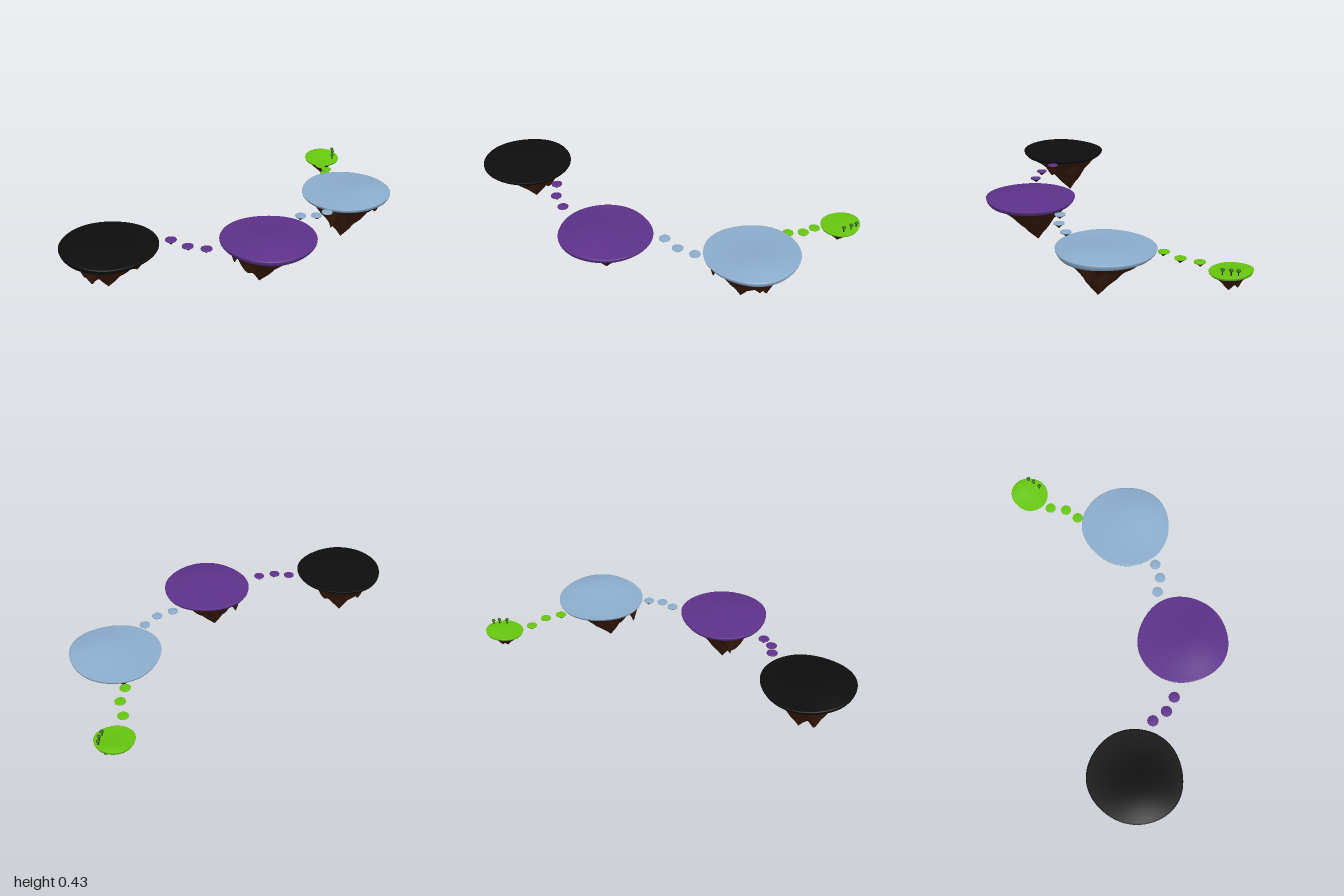
import * as THREE from 'three';
import { mergeVertices } from 'three/addons/utils/BufferGeometryUtils.js';

const mat = (color, roughness = 0.9) => new THREE.MeshStandardMaterial({ color, roughness });
const dirt = mat(0x3a1c0c);
const black = mat(0x0d0d0d), purple = mat(0x5d3189), blue = mat(0x8baccc), green = mat(0x66c60e);
const leaf = mat(0x2f6a1c);

// Disc-like surface: point(t, angle) is swept from the centre (t = 0) to the edge (t = 1)
function radialSurface(point, rings, segs, facesUp) {
  const pos = [], index = [];
  for (let i = 0; i <= rings; i++)
    for (let j = 0; j < segs; j++) pos.push(...point(i / rings, (j / segs) * Math.PI * 2));
  for (let i = 0; i < rings; i++)
    for (let j = 0; j < segs; j++) {
      const k = (j + 1) % segs;
      const a = i * segs + j, b = i * segs + k, c = a + segs, d = b + segs;
      const quad = facesUp ? [[a, d, c], [a, b, d]] : [[a, c, d], [a, d, b]];
      quad.forEach((tri, n) => { if (i > 0 || n === 0) index.push(...tri); });
    }
  let geo = new THREE.BufferGeometry();
  geo.setAttribute('position', new THREE.Float32BufferAttribute(pos, 3));
  geo.setIndex(index);
  geo = mergeVertices(geo, 1e-5);
  geo.computeVertexNormals();
  return geo;
}

// Floating island: a domed cap with a rolled edge over a hanging, spiky cone of earth
function island(o) {
  const { x, z, rx, rz, rim, drop, tip, bump = [0, 0, 0], wobble = [0, 3, 0], spikes = [], rough = 0 } = o;
  const { rings = 40, segs = 96 } = o;
  const outline = (a, s) => {
    const r = s * (1 + wobble[0] * Math.cos(wobble[1] * (a - wobble[2])) + wobble[0] * 0.4 * Math.sin(5 * a));
    return [x + rx * r * Math.cos(a), z + rz * r * Math.sin(a)];
  };
  const cap = (u, a) => {
    const t = Math.min(u / 0.85, 1);
    const e = Math.max(0, (u - 0.85) / 0.15);
    const [px, pz] = outline(a, t * (1 - 0.05 * e * e));
    const nx = (px - x) / rx, nz = (pz - z) / rz;
    const d2 = (nx - bump[0]) ** 2 + (nz - bump[1]) ** 2;
    const swell = bump[2] * Math.exp(-d2 * 1.6) * (1 - 0.5 * t ** 4) * (1 - e);
    return [px, rim + swell - drop * e + (o.tilt || 0) * nz, pz];
  };
  const under = (t, a) => {
    const [ex, ez] = outline(a, 0.95);
    const px = tip[0] + (ex - tip[0]) * t, pz = tip[2] + (ez - tip[2]) * t;
    const edge = rim - drop + (o.tilt || 0) * (pz - z) / rz;
    let y = edge - (edge - tip[1]) * (1 - t) ** 1.3;
    // ridges running down from the edge
    const fade = Math.sin(Math.PI * t);
    y += rough * fade * (Math.sin(5 * a + 7 * t) + 0.7 * Math.sin(9 * a - 11 * t));
    // smaller hanging points
    for (const [sx, sy, sz, w] of spikes) {
      const f = 1 - Math.hypot(px - sx, pz - sz) / w;
      if (f > 0 && t < 1) y = Math.min(y, y + (sy - y) * f ** 1.2);
    }
    return [px, y, pz];
  };
  const g = new THREE.Group();
  g.name = o.name;
  const top = new THREE.Mesh(radialSurface(cap, rings, segs, true), o.color);
  top.name = 'groundCap';
  const base = new THREE.Mesh(radialSurface(under, rings, segs, false), dirt);
  base.name = 'earthUnderside';
  g.add(top, base);
  return g;
}

// Small round tree
function tree(x, y, z, h) {
  const g = new THREE.Group();
  g.name = 'tree';
  const trunk = new THREE.Mesh(new THREE.CylinderGeometry(0.003, 0.004, h, 8), dirt);
  trunk.name = 'trunk';
  trunk.position.y = h / 2;
  const crown = new THREE.Mesh(new THREE.SphereGeometry(0.012, 16, 10), leaf);
  crown.name = 'crown';
  crown.scale.y = 0.85;
  crown.position.y = h;
  g.add(trunk, crown);
  g.position.set(x, y, z);
  return g;
}

export function createModel() {
  const model = new THREE.Group();
  model.name = 'floatingIslands';

  // Four large islands
  model.add(
    island({
      name: 'blackIsland', color: black, x: -0.722, z: 0.675, rx: 0.277, rz: 0.281,
      rim: 0.395, drop: 0.022, tip: [-0.745, 0.1, 0.634], bump: [-0.4, 0.4, 0.038],
      wobble: [0.014, 3, 1.9], rough: 0.008,
      spikes: [[-0.87, 0.17, 0.66, 0.07], [-0.57, 0.25, 0.7, 0.06], [-0.63, 0.22, 0.58, 0.06], [-0.82, 0.18, 0.74, 0.06]],
    }),
    island({
      name: 'purpleIsland', color: purple, x: 0.175, z: 0.532, rx: 0.282, rz: 0.278,
      rim: 0.346, drop: 0.024, tip: [0.125, 0.05, 0.515], bump: [0.05, 0.35, 0.038],
      wobble: [0.016, 3, 1.45], rough: 0.008,
      spikes: [[-0.02, 0.16, 0.5, 0.04], [0.06, 0.13, 0.56, 0.07], [0.24, 0.18, 0.48, 0.08]],
    }),
    island({
      name: 'blueIsland', color: blue, x: 0.712, z: -0.15, rx: 0.282, rz: 0.284,
      rim: 0.305, drop: 0.022, tip: [0.692, 0, -0.096], bump: [0.55, 0.1, 0.036],
      wobble: [0.016, 3, 0.26], rough: 0.009,
      spikes: [[0.605, 0.13, 0.045, 0.04], [0.81, 0.08, -0.15, 0.07], [0.91, 0.16, -0.12, 0.05], [0.62, 0.12, -0.18, 0.06]],
    }),
    island({
      name: 'greenIsland', color: green, x: 0.641, z: -0.841, rx: 0.118, rz: 0.121,
      rim: 0.236, drop: 0.014, tip: [0.64, 0.117, -0.832], bump: [0.2, -0.7, 0.016], tilt: -0.008,
      wobble: [0.014, 3, 0.3], rough: 0.004, rings: 28, segs: 64,
      spikes: [[0.69, 0.16, -0.89, 0.03], [0.59, 0.16, -0.87, 0.03]],
    }),
  );

  // Stepping stones between the islands: x, top height, z, colour
  const stones = [
    [-0.38, 0.393, 0.612, purple], [-0.285, 0.374, 0.655, purple], [-0.18, 0.356, 0.655, purple],
    [0.385, 0.342, 0.25, blue], [0.485, 0.326, 0.217, blue], [0.56, 0.308, 0.145, blue],
    [0.62, 0.289, -0.46, green], [0.64, 0.272, -0.56, green], [0.613, 0.252, -0.663, green],
  ];
  stones.forEach(([x, y, z, color], i) => model.add(island({
    name: 'steppingStone', color, x, z, rx: 0.034, rz: 0.034, rim: y, drop: 0.006,
    tip: [x + 0.004 * Math.sin(i * 2), y - 0.031, z + 0.004 * Math.cos(i * 2)],
    bump: [0, 0, 0.003], rough: 0.001, rings: 12, segs: 28,
  })));

  // Trees along the edge of the green island
  model.add(tree(0.722, 0.24, -0.897, 0.034), tree(0.722, 0.238, -0.858, 0.035), tree(0.714, 0.232, -0.81, 0.034));
  return model;
}
